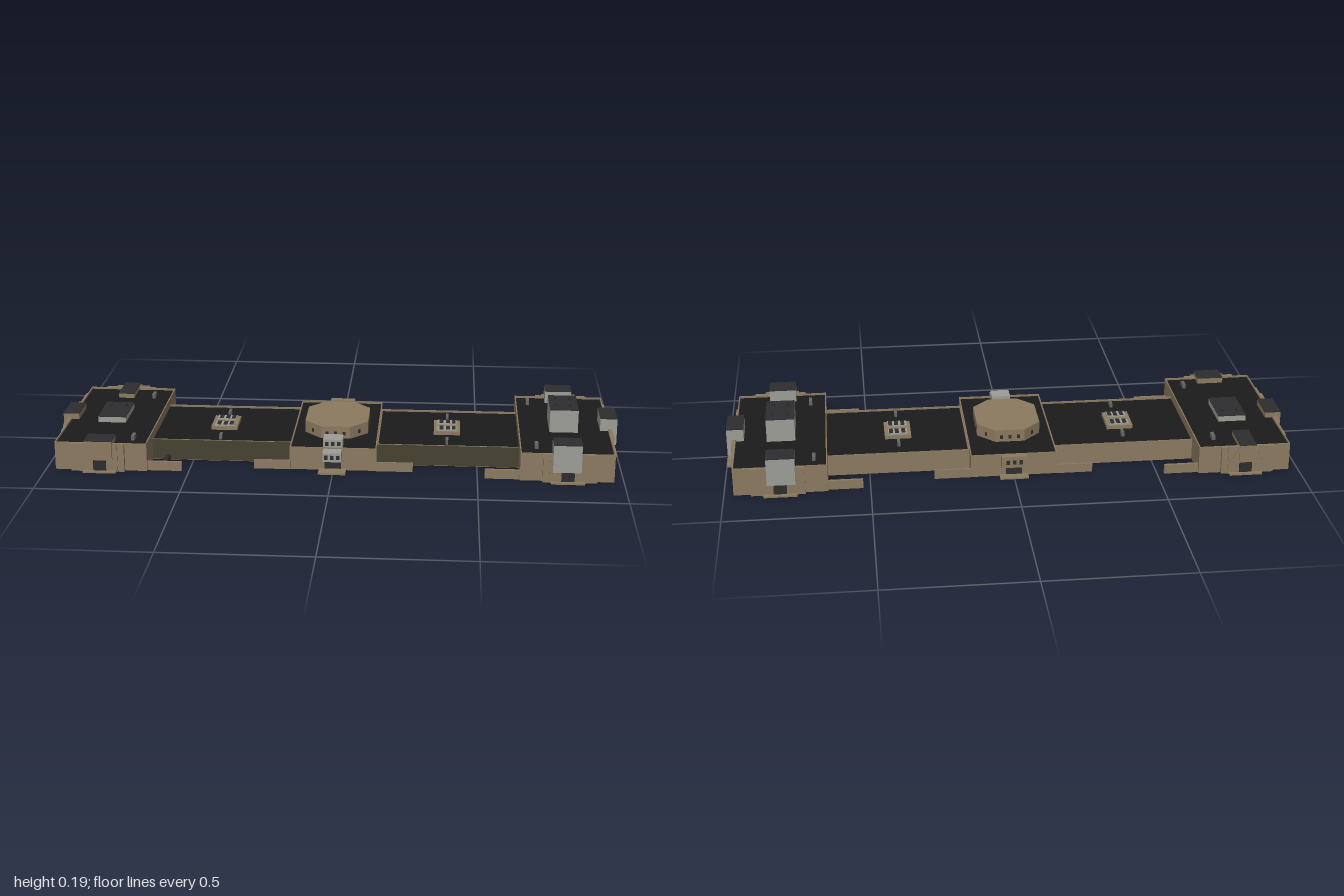
import * as THREE from 'three';

const mat = (name, color) => {
  const m = new THREE.MeshStandardMaterial({ color });
  m.name = name;
  return m;
};

export function createModel() {
  const tan = mat('tan wall', 0x8b7a60), olive = mat('olive facade', 0x474230);
  const roof = mat('black roof', 0x1b1b1b), dark = mat('dark panel', 0x2d2d2f);
  const grey = mat('grey metal', 0x9e9e97), midGrey = mat('mid grey', 0x666666);
  const model = new THREE.Group();
  model.name = 'building';

  // Box given by its limits on each axis
  function box(name, m, x0, x1, y0, y1, z0, z1, parent = model) {
    const mesh = new THREE.Mesh(new THREE.BoxGeometry(x1 - x0, y1 - y0, z1 - z0), m);
    mesh.position.set((x0 + x1) / 2, (y0 + y1) / 2, (z0 + z1) / 2);
    mesh.name = name;
    parent.add(mesh);
    return mesh;
  }

  // Walled block with a sunken flat roof and a thin parapet
  function block(name, x0, x1, h, z0, z1) {
    const g = new THREE.Group(), t = 0.004, d = 0.009;
    g.name = name;
    box('walls', tan, x0, x1, 0, h - d, z0, z1, g);
    box('roof', roof, x0 + t, x1 - t, h - d, h - d + 0.002, z0 + t, z1 - t, g);
    for (const [a, b] of [[x0, x0 + t], [x1 - t, x1]]) box('parapet', tan, a, b, h - d, h, z0, z1, g);
    for (const [a, b] of [[z0, z0 + t], [z1 - t, z1]]) box('parapet', tan, x0 + t, x1 - t, h - d, h, a, b, g);
    model.add(g);
  }

  // Plant box with a dark lid
  function plant(name, side, x0, x1, y0, y1, z0, z1) {
    box(name, side, x0, x1, y0, y1 - 0.003, z0, z1);
    box(name + ' lid', dark, x0, x1, y1 - 0.003, y1, z0, z1);
  }

  // Corridor wings and central hall
  for (const s of [-1, 1]) {
    const [a, b] = s < 0 ? [-0.65, -0.15] : [0.15, 0.65];
    block('corridor wing', a, b, 0.076, -0.192, 0.19);
    box('corridor facade', olive, a, b, 0.002, 0.075, 0.19, 0.192);
  }
  block('central hall', -0.152, 0.15, 0.082, -0.257, 0.255);

  // Octagonal drum
  const oct = new THREE.Shape([[-0.052, -0.138], [0.052, -0.138], [0.112, -0.076], [0.112, 0.076],
    [0.052, 0.138], [-0.052, 0.138], [-0.112, 0.076], [-0.112, -0.076]].map(p => new THREE.Vector2(...p)));
  const drumGeo = new THREE.ExtrudeGeometry(oct, { depth: 0.046, bevelEnabled: false });
  drumGeo.rotateX(-Math.PI / 2);
  const drum = new THREE.Mesh(drumGeo, tan);
  drum.name = 'octagonal drum';
  drum.position.y = 0.073;
  model.add(drum);
  for (const s of [-1, 1]) {
    for (const x of [-0.03, 0, 0.03]) box('drum window', dark, x - 0.005, x + 0.005, 0.087, 0.1, s * 0.139 - 0.001, s * 0.139 + 0.001);
    for (const z of [-0.045, 0, 0.045]) box('drum window', dark, s * 0.113 - 0.001, s * 0.113 + 0.001, 0.087, 0.1, z - 0.005, z + 0.005);
    for (const t of [-1, 1]) {
      const w = box('drum corner window', dark, -0.005, 0.005, 0.087, 0.1, -0.001, 0.001);
      w.position.set(s * 0.0825, 0.0935, t * 0.1075);
      w.rotation.y = s * t * Math.atan2(0.062, 0.06);
    }
  }

  // Central front entrance
  box('front roof unit', grey, -0.036, 0.032, 0.074, 0.108, 0.187, 0.245);
  box('front canopy', grey, -0.034, 0.03, 0.046, 0.078, 0.255, 0.302);
  box('front door', dark, -0.03, 0.028, 0.004, 0.044, 0.255, 0.258);
  for (const x of [-0.023, -0.002, 0.019]) {
    box('canopy window', dark, x - 0.006, x + 0.006, 0.055, 0.07, 0.302, 0.304);
    box('unit window', dark, x - 0.006, x + 0.006, 0.086, 0.1, 0.245, 0.247);
  }
  box('front porch', tan, -0.05, 0.045, 0, 0.006, 0.255, 0.305);

  // Central back entrance
  box('back canopy', tan, -0.045, 0.045, 0.042, 0.084, -0.285, -0.257);
  box('back door', dark, -0.028, 0.028, 0.004, 0.042, -0.26, -0.257);
  for (const x of [-0.022, 0, 0.022]) box('canopy window', dark, x - 0.006, x + 0.006, 0.055, 0.07, -0.287, -0.285);
  box('back porch', tan, -0.05, 0.05, 0, 0.006, -0.29, -0.257);

  // Low garden walls beside the hall and the end blocks
  for (const s of [-1, 1]) for (const t of [-1, 1]) {
    const wall = (x0, x1, z, w) => box('low wall', tan, s > 0 ? x0 : -x1, s > 0 ? x1 : -x0, 0, 0.033, t * z - w, t * z + w);
    wall(0.15, 0.277, 0.255, 0.003);
    wall(0.525, 0.65, 0.297, 0.005);
  }
  for (const [x, z, w, d] of [[-0.627, -0.276, 0.014, 0.01], [-0.59, 0.218, 0.008, 0.019], [0.602, -0.275, 0.013, 0.01], [0.542, 0.267, 0.014, 0.01]])
    box('yard cabinet', dark, x - w, x + w, 0, 0.022, z - d, z + d);

  // Skylights and vents on the corridor roofs
  for (const x of [-0.407, 0.393]) {
    box('skylight base', tan, x - 0.047, x + 0.047, 0.068, 0.082, -0.062, 0.06);
    for (const z of [-0.034, 0.034]) {
      box('skylight frame', grey, x - 0.034, x + 0.034, 0.082, 0.087, z - 0.02, z + 0.02);
      for (const dx of [-0.02, 0.003, 0.024]) box('skylight glass', dark, x + dx - 0.007, x + dx + 0.007, 0.087, 0.089, z - 0.017, z + 0.017);
    }
    for (const z of [-0.112, 0.145]) box('roof vent', midGrey, x - 0.005, x + 0.005, 0.068, 0.086, z - 0.016, z + 0.016);
  }

  // End blocks with stepped outer walls
  for (const s of [-1, 1]) {
    const span = (a, b) => s > 0 ? [a, b] : [-b, -a];
    block('end block', ...span(0.645, 0.967), 0.1, -0.312, 0.31);
    for (const t of [-1, 1]) {
      const zs = (a, b) => t > 0 ? [a, b] : [-b, -a];
      box('side step', tan, ...span(0.722, 0.908), 0, 0.1, ...zs(0.308, 0.324));
      box('entrance surround', tan, ...span(0.745, 0.87), 0, 0.104, ...zs(0.322, 0.328));
      box('side door', dark, ...span(0.785, 0.83), 0.006, 0.042, ...zs(0.328, 0.331));
      box('side porch', tan, ...span(0.75, 0.865), 0, 0.006, ...zs(0.324, 0.344));
    }
    box('end step', tan, ...span(0.965, 0.972), 0, 0.099, -0.235, 0.19);
    box('end surround', tan, ...span(0.97, 0.978), 0, 0.1, -0.13, 0.13);
    box('end door', dark, ...span(0.978, 0.981), 0.009, 0.04, -0.043, 0.01);
    box('end porch', tan, ...span(0.97, 1), 0, 0.006, -0.09, 0.058);
  }
  for (const [x, z] of [[-0.71, -0.226], [-0.702, 0.24], [0.69, -0.245], [0.702, 0.23]])
    box('roof vent', midGrey, x - 0.006, x + 0.006, 0.09, 0.109, z - 0.018, z + 0.018);

  // Tall grey plant on the right hand block
  plant('main plant', grey, 0.755, 0.855, 0.09, 0.178, -0.09, 0.072);
  plant('end plant', grey, 0.935, 0.995, 0.04, 0.14, -0.075, 0.045);
  plant('front plant', grey, 0.755, 0.852, 0.04, 0.14, 0.257, 0.335);
  plant('back plant', grey, 0.755, 0.852, 0.04, 0.14, -0.332, -0.255);
  for (const x of [0.78, 0.83]) for (const z of [-0.05, 0.029])
    box('plant vent', dark, x - 0.005, x + 0.005, 0.178, 0.187, z - 0.01, z + 0.01);

  // Low plant and canopies on the other block
  plant('low plant', grey, -0.862, -0.762, 0.09, 0.116, -0.09, 0.073);
  plant('end canopy', tan, -0.995, -0.938, 0.046, 0.116, -0.075, 0.045);
  plant('front canopy', tan, -0.858, -0.762, 0.046, 0.116, 0.262, 0.336);
  for (const x of [-0.84, -0.784]) box('low plant vent', dark, x - 0.005, x + 0.005, 0.116, 0.124, -0.055, -0.04);

  // Back canopy with a sloping frame
  plant('back hood', tan, -0.842, -0.784, 0.05, 0.112, -0.335, -0.208);
  for (const s of [-1, 1]) {
    const brace = box('sloping brace', tan, -0.004, 0.004, -0.034, 0.034, -0.01, 0.01);
    brace.position.set(-0.813 + s * 0.045, 0.072, -0.335);
    brace.rotation.z = s * 0.5;
  }
  return model;
}
